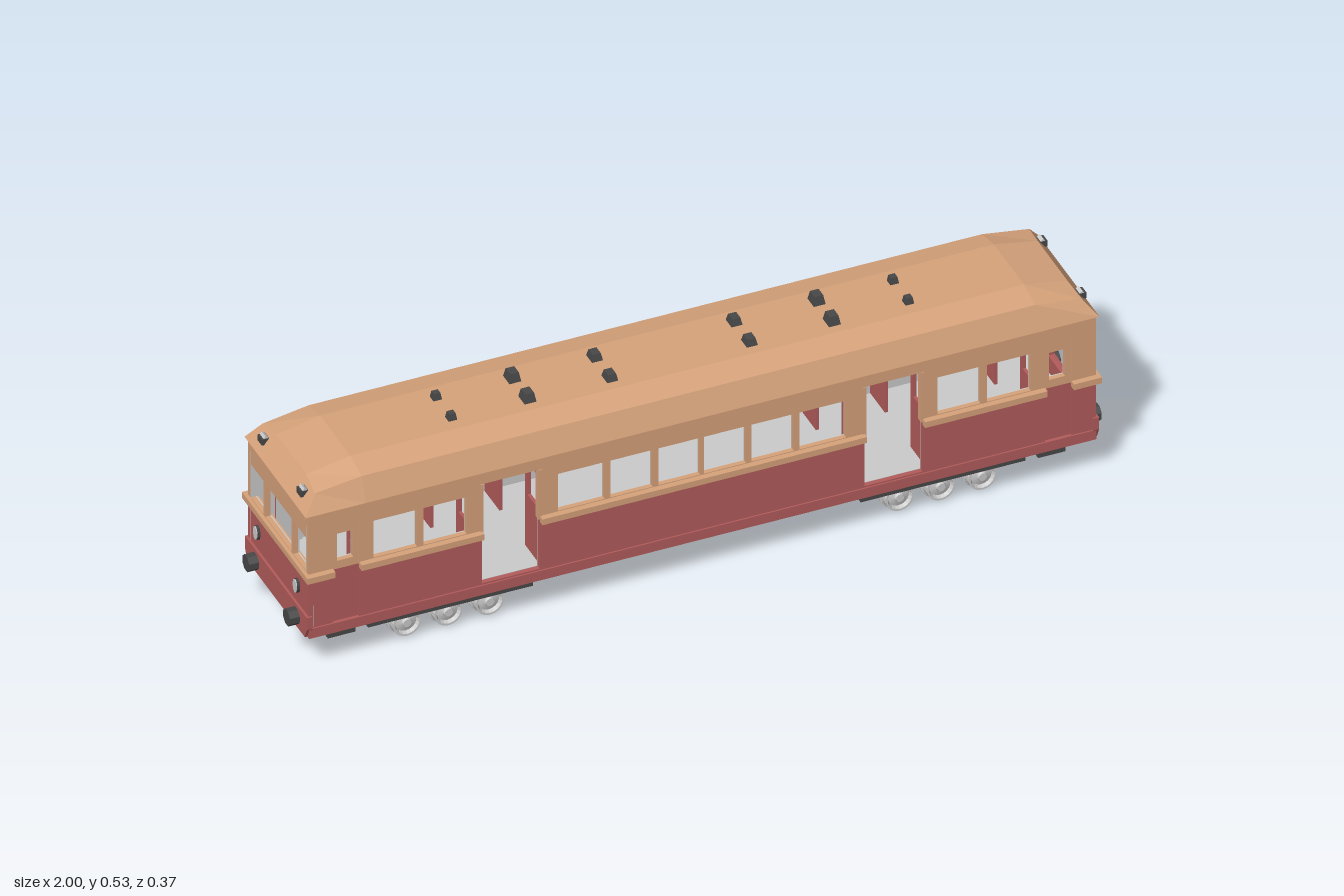
import * as THREE from 'three';

const mat = (name, color, extra = {}) => Object.assign(new THREE.MeshStandardMaterial({ color, ...extra }), { name });

export function createModel() {
  const root = new THREE.Group();
  root.name = 'railcar';
  const tan = mat('tan paint', 0xd8a47c, { flatShading: true, side: THREE.DoubleSide });
  const red = mat('red paint', 0xb45c5c);
  const dark = mat('dark iron', 0x484848, { flatShading: true });
  const grey = mat('light grey', 0xcccccc, { flatShading: true });

  const add = (parent, name, geo, m, x = 0, y = 0, z = 0) => {
    const mesh = new THREE.Mesh(geo, m);
    mesh.name = name;
    mesh.position.set(x, y, z);
    parent.add(mesh);
    return mesh;
  };
  // box given by its limits
  const box = (parent, name, m, x0, x1, y0, y1, z0, z1) =>
    add(parent, name, new THREE.BoxGeometry(x1 - x0, y1 - y0, z1 - z0), m, (x0 + x1) / 2, (y0 + y1) / 2, (z0 + z1) / 2);
  // upright plate with rectangular holes [x0, x1, y0, y1]
  const plate = (parent, name, m, x0, x1, y0, y1, z, depth, holes = []) => {
    const rect = (T, a, b, c, d) => {
      const s = new T();
      s.moveTo(a, c); s.lineTo(b, c); s.lineTo(b, d); s.lineTo(a, d); s.closePath();
      return s;
    };
    const shape = rect(THREE.Shape, x0, x1, y0, y1);
    for (const h of holes) shape.holes.push(rect(THREE.Path, ...h));
    return add(parent, name, new THREE.ExtrudeGeometry(shape, { depth, bevelEnabled: false }), m, 0, 0, z);
  };
  const group = (name, parent = root) => {
    const g = new THREE.Group();
    g.name = name;
    parent.add(g);
    return g;
  };

  const MID = 0.268, TOP = 0.44, T = 0.012;
  // two-tone wall piece with a grey lining, outer face at z
  const wall = (g, x0, x1, z, top, holes, belt = true) => {
    plate(g, 'lowerPanel', red, x0, x1, 0.1, MID, z - T, T);
    plate(g, 'upperPanel', tan, x0, x1, MID, top, z - T, T, holes);
    plate(g, 'lining', grey, x0, x1, 0.128, top, z - T - 0.003, 0.003, holes);
    if (belt) box(g, 'beltRail', tan, x0, x1, 0.26, 0.276, z - 0.002, z + 0.015);
  };

  // side walls
  const win = (list) => list.flatMap(([a, b]) => [[a, b, 0.278, 0.38], [-b, -a, 0.278, 0.38]]);
  const bays = win([[0.005, 0.108], [0.122, 0.226], [0.24, 0.355]]);
  const pairs = win([[0.58, 0.686], [0.702, 0.81]]);
  for (const side of [0, 1]) {
    const g = group(side ? 'backWall' : 'frontWall');
    g.rotation.y = side * Math.PI;
    wall(g, -0.4, 0.4, 0.17, 0.405, bays);
    for (const s of [-1, 1]) {
      const span = (a, b) => (s > 0 ? [a, b] : [-b, -a]);
      wall(g, ...span(0.543, 0.845), 0.17, 0.405, pairs.filter((h) => h[0] * s > 0));
      wall(g, ...span(0.91, 0.97), 0.17, 0.405, []);
      // recessed crew door with a small window
      wall(g, ...span(0.845, 0.91), 0.164, 0.405, [[...span(0.857, 0.897), 0.29, 0.365]], false);
      box(g, 'doorSill', red, ...span(0.4, 0.543), 0.1, 0.13, 0.158, 0.17);
      for (const x of [0.4, 0.543]) box(g, 'doorPost', tan, ...span(x - 0.004, x + 0.004), MID, 0.405, 0.155, 0.172);
    }
    plate(g, 'header', tan, -0.97, 0.97, 0.405, TOP, 0.158, T);
    plate(g, 'headerLining', grey, -0.96, 0.96, 0.405, TOP, 0.155, 0.003);
    box(g, 'skirt', red, -0.97, 0.97, 0.1, 0.126, 0.165, 0.174);
  }

  // ends: an open gangway at one, a row of windows at the other
  for (const s of [1, -1]) {
    const g = group(s > 0 ? 'gangwayEnd' : 'windowEnd');
    g.rotation.y = (s * Math.PI) / 2;
    if (s > 0) {
      for (const [a, b] of [[-0.17, -0.072], [0.072, 0.17]]) wall(g, a, b, 0.97, 0.36, [], false);
      for (const [a, b] of [[-0.185, -0.085], [0.085, 0.185]]) box(g, 'beltRail', tan, a, b, 0.26, 0.276, 0.95, 0.979);
      box(g, 'doorSill', red, -0.072, 0.072, 0.1, 0.175, 0.958, 0.97);
      plate(g, 'lowerDoorFrame', red, -0.077, 0.077, 0.17, MID, 0.97, 0.004, [[-0.071, 0.071, 0.176, MID - 0.0005]]);
      plate(g, 'upperDoorFrame', tan, -0.077, 0.077, MID, 0.366, 0.97, 0.004, [[-0.071, 0.071, MID + 0.0005, 0.359]]);
      plate(g, 'header', tan, -0.17, 0.17, 0.36, TOP, 0.958, T);
    } else {
      wall(g, -0.17, 0.17, 0.97, TOP, [[-0.155, -0.084, 0.278, 0.37], [-0.073, 0.073, 0.278, 0.37], [0.084, 0.155, 0.278, 0.37]], false);
      box(g, 'beltRail', tan, -0.185, 0.185, 0.26, 0.276, 0.95, 0.979);
    }
    // buffer beam with chamfered lower corners
    const beam = new THREE.Shape([[-0.175, 0.16], [-0.175, 0.127], [-0.163, 0.1], [0.163, 0.1], [0.175, 0.127], [0.175, 0.16]]
      .map((p) => new THREE.Vector2(...p)));
    add(g, 'bufferBeam', new THREE.ExtrudeGeometry(beam, { depth: 0.014, bevelEnabled: false }), red, 0, 0, 0.962);
    for (const k of [-1, 1]) {
      const buffer = add(g, 'buffer', new THREE.CylinderGeometry(0.0215, 0.0215, 0.026, 8).rotateY(Math.PI / 8).rotateX(Math.PI / 2), dark, k * 0.115, 0.13, 0.987);
      buffer.scale.set(1, 1, 1);
      const lampGeo = new THREE.CylinderGeometry(0.012, 0.012, 0.008, 10).rotateX(Math.PI / 2);
      add(g, 'lampHousing', lampGeo, dark, k * 0.112, 0.21, 0.973).scale.y = 1.6;
      add(g, 'lampGlass', lampGeo, grey, k * 0.112, 0.21, 0.976).scale.set(0.93, 1.5, 0.8);
      box(g, 'headlightHousing', dark, k * 0.11 - 0.012, k * 0.11 + 0.012, 0.458, 0.474, 0.945, 0.968);
      const glass = box(g, 'headlightGlass', grey, k * 0.11 - 0.011, k * 0.11 + 0.011, 0.463, 0.479, 0.955, 0.964);
      glass.rotation.x = -0.6;
    }
  }

  // roof lofted from cross-sections, ends sloping inwards; each point is [x, y, z]
  const section = (s, pts) => [...pts.map(([x, y, z]) => [s * x, y, -z]), ...pts.slice().reverse().map(([x, y, z]) => [s * x, y, z])];
  const tip = [[0.978, 0.437, 0.173], [0.945, 0.48, 0.148], [0.938, 0.49, 0.085]];
  const full = [[0.83, 0.437, 0.173], [0.83, 0.497, 0.15], [0.83, 0.511, 0.085]];
  const rings = [section(-1, tip), section(-1, full), section(1, full), section(1, tip)];
  const tris = [];
  for (let i = 0; i < 3; i++) {
    for (let j = 0; j < 5; j++) {
      const [a, b, c, d] = [rings[i][j], rings[i][j + 1], rings[i + 1][j + 1], rings[i + 1][j]];
      tris.push(a, b, c, a, c, d);
    }
  }
  for (let j = 1; j < 5; j++) {
    tris.push(rings[3][0], rings[3][j], rings[3][j + 1]);
    tris.push(rings[0][0], rings[0][j + 1], rings[0][j]);
  }
  const roofGeo = new THREE.BufferGeometry();
  roofGeo.setAttribute('position', new THREE.Float32BufferAttribute(tris.flat(), 3));
  roofGeo.computeVertexNormals();
  add(root, 'roof', roofGeo, tan);

  // roof ventilators
  for (const [x, w, h] of [[0.563, 0.022, 0.02], [0.375, 0.03, 0.026], [0.172, 0.028, 0.021]]) {
    for (const sx of [-1, 1]) for (const sz of [-1, 1]) {
      const geo = new THREE.CylinderGeometry(w * 0.5, w * 0.71, h, 4).rotateY(Math.PI / 4);
      add(root, 'ventilator', geo, dark, sx * x, 0.508 + h / 2, sz * 0.043).scale.z = w > 0.025 ? 1.25 : 1;
    }
  }

  // floor, underframe and inner partitions with side windows
  box(root, 'floor', grey, -0.958, 0.958, 0.125, 0.131, -0.158, 0.158);
  box(root, 'underframe', dark, -0.96, 0.96, 0.098, 0.125, -0.16, 0.16);
  for (const x of [-0.83, -0.56, -0.39, 0.39, 0.56, 0.83]) {
    const g = group('partition');
    g.rotation.y = Math.PI / 2;
    for (const [a, b] of [[-0.155, -0.072], [0.072, 0.155]]) {
      plate(g, 'partitionPanel', red, a, b, 0.131, 0.42, x - 0.004, 0.008, [[a + 0.015, b - 0.015, 0.28, 0.37]]);
    }
  }

  // wheel turned about its axle
  const wheelGeo = new THREE.LatheGeometry([[0, 0.016], [0.01, 0.016], [0.012, 0.01], [0.026, 0.006], [0.03, 0.015],
    [0.035, 0.015], [0.036, -0.009], [0.041, -0.011], [0.041, -0.016], [0, -0.016]].reverse()
    .map((p) => new THREE.Vector2(...p)), 18).rotateX(Math.PI / 2);

  // three-axle bogies
  for (const s of [-1, 1]) {
    const g = group('bogie');
    g.position.x = s * 0.607;
    for (const k of [-1, 1]) {
      box(g, 'sideFrame', dark, -0.203, 0.203, 0.064, 0.1, k * 0.1125 - 0.0275, k * 0.1125 + 0.0275);
      for (const x of [-0.102, 0, 0.102]) {
        const wheel = add(g, 'wheel', wheelGeo, grey, x, 0.041, k * 0.115);
        if (k < 0) wheel.rotation.y = Math.PI;
      }
      box(root, 'stepBox', dark, s * 0.875 - 0.034, s * 0.875 + 0.034, 0.062, 0.1, k * 0.1125 - 0.0275, k * 0.1125 + 0.0275);
    }
    for (const x of [-0.102, 0, 0.102]) add(g, 'axle', new THREE.CylinderGeometry(0.007, 0.007, 0.2, 8).rotateX(Math.PI / 2), dark, x, 0.041, 0);
    box(g, 'crossBeam', dark, -0.05, 0.05, 0.085, 0.1, -0.085, 0.085);
  }

  // equipment under the floor
  const gear = group('underfloorGear');
  for (const k of [-1, 1]) {
    const z = (a) => [k * 0.043 - a, k * 0.043 + a];
    for (const s of [-1, 1]) {
      box(gear, 'equipmentBox', dark, s * 0.3 - 0.052, s * 0.3 + 0.052, 0.078, 0.1, ...z(0.038));
      box(gear, 'bracket', dark, s * 0.175 - 0.024, s * 0.175 + 0.024, 0.078, 0.1, ...z(0.025));
    }
    const tank = new THREE.CylinderGeometry(0.055, 0.042, 0.036, 4).rotateY(Math.PI / 4);
    add(gear, 'reservoir', tank, dark, 0, 0.077, k * 0.043).scale.x = 2.7;
    // sagging hose
    const sx = -k;
    const path = new THREE.CatmullRomCurve3([[0.175, 0.09], [0.168, 0.058], [0.14, 0.042], [0.105, 0.042], [0.077, 0.06], [0.07, 0.085]]
      .map(([x, y]) => new THREE.Vector3(sx * x, y, k * 0.04)));
    add(gear, 'hose', new THREE.TubeGeometry(path, 16, 0.007, 6), dark);
  }
  return root;
}
